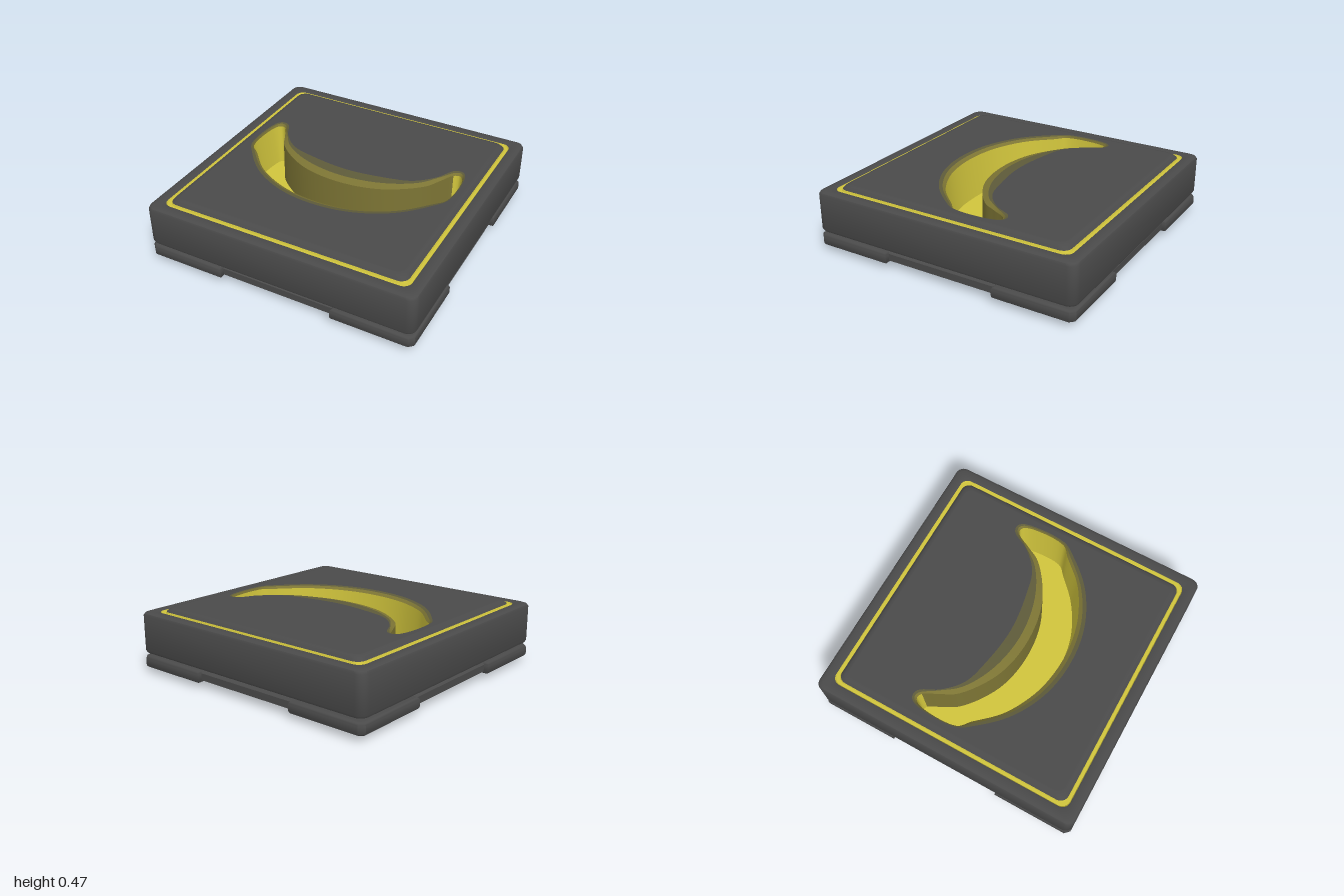
import * as THREE from 'three';
import { toCreasedNormals } from 'three/addons/utils/BufferGeometryUtils.js';

const mat = (name, color, side = THREE.FrontSide) => {
  const m = new THREE.MeshStandardMaterial({ color, side });
  m.name = name;
  return m;
};

// Skin between matching rings of [x, z] points, each at its own height
function loft(rings, closed = true) {
  const n = rings[0].pts.length, pos = [], idx = [];
  for (const { pts, y } of rings) for (const [x, z] of pts) pos.push(x, y, z);
  for (let r = 0; r < rings.length - 1; r++) {
    for (let i = 0; i < (closed ? n : n - 1); i++) {
      const a = r * n + i, b = r * n + (i + 1) % n;
      idx.push(a, b, a + n, b, b + n, a + n);
    }
  }
  const g = new THREE.BufferGeometry();
  g.setAttribute('position', new THREE.Float32BufferAttribute(pos, 3));
  g.setIndex(idx);
  return toCreasedNormals(g, 0.7);
}

// Rounded square outline
function square(half, r = 0.06) {
  const pts = [];
  for (let c = 0; c < 4; c++) {
    const mid = Math.PI / 4 + c * Math.PI / 2;
    const cx = Math.sign(Math.cos(mid)) * (half - r), cz = -Math.sign(Math.sin(mid)) * (half - r);
    for (let i = 0; i <= 6; i++) {
      const a = c * Math.PI / 2 + i * Math.PI / 12;
      pts.push([cx + r * Math.cos(a), cz - r * Math.sin(a)]);
    }
  }
  return pts;
}
const squares = (profile, r) => loft(profile.map(([half, y]) => ({ pts: square(half, r), y })));

// Crescent outline from its right half: inner middle, tip, outer middle
const SUB = 6;
function crescent(half) {
  const left = half.slice(1, -1).reverse().map(([x, z]) => [-x, z]);
  const curve = new THREE.CatmullRomCurve3(
    [...half, ...left].map(([x, z]) => new THREE.Vector3(x, 0, z)), true, 'centripetal');
  const n = (half.length + left.length) * SUB;
  return Array.from({ length: n }, (_, i) => {
    const p = curve.getPoint(i / n);
    return [p.x, p.z];
  });
}

// Flat face looking up, with an optional hole
function cap(pts, y, hole) {
  const v = (list) => list.map(([x, z]) => new THREE.Vector2(x, -z));
  const s = new THREE.Shape(v(pts));
  if (hole) s.holes.push(new THREE.Path(v(hole)));
  return new THREE.ShapeGeometry(s).rotateX(-Math.PI / 2).translate(0, y, 0);
}

export function createModel() {
  const group = new THREE.Group();
  const charcoal = mat('charcoal', 0x4a4a4a);
  const yellow = mat('yellow', 0xd0c43c, THREE.DoubleSide);
  const olive = mat('olive', 0x7c7434, THREE.DoubleSide);
  const darkOlive = mat('dark olive', 0x5e5b3a, THREE.DoubleSide);
  const add = (name, geo, material) => {
    const m = new THREE.Mesh(geo, material);
    m.name = name;
    group.add(m);
    return m;
  };

  // Base plate, seam and main slab
  add('body', squares([
    [0.78, 0], [0.80, 0.008], [0.82, 0.035], [0.84, 0.042], [0.94, 0.042], [0.965, 0.055],
    [0.965, 0.105], [0.95, 0.118], [0.93, 0.125], [0.93, 0.138], [0.975, 0.14], [0.993, 0.148],
    [1, 0.165], [1, 0.42], [0.993, 0.435], [0.975, 0.443], [0.925, 0.443], [0.915, 0.438]]), charcoal);
  const bottom = add('underside', cap(square(0.78), 0), charcoal);
  bottom.rotation.x = Math.PI;

  // Groove around the raised top plate
  add('groove', squares([[0.915, 0.438], [0.91, 0.43], [0.89, 0.43], [0.885, 0.442]]), yellow);
  add('topPlateEdge', squares([[0.885, 0.442], [0.872, 0.458], [0.86, 0.467], [0.84, 0.47]]), charcoal);

  // Crescent outlines from the outer halo down to the floor
  const halo = crescent([[0, -0.01], [0.29, -0.045], [0.48, -0.1], [0.61, -0.22], [0.69, -0.355],
    [0.745, -0.365], [0.782, -0.32], [0.79, 0], [0.72, 0.11], [0.56, 0.28], [0.38, 0.39], [0.2, 0.45], [0, 0.47]]);
  const ring = crescent([[0, 0.07], [0.3, 0.02], [0.52, -0.1], [0.63, -0.24], [0.7, -0.34],
    [0.74, -0.35], [0.775, -0.31], [0.78, 0], [0.71, 0.09], [0.55, 0.255], [0.37, 0.365], [0.2, 0.42], [0, 0.44]]);
  const rim = crescent([[0, 0.13], [0.31, 0.075], [0.57, -0.1], [0.64, -0.22], [0.695, -0.32],
    [0.735, -0.335], [0.77, -0.3], [0.775, 0], [0.7, 0.075], [0.545, 0.235], [0.36, 0.34], [0.2, 0.39], [0, 0.41]]);
  const floor = crescent([[0, 0.135], [0.31, 0.08], [0.57, -0.095], [0.645, -0.215], [0.695, -0.31],
    [0.73, -0.32], [0.75, -0.29], [0.755, -0.01], [0.68, 0.07], [0.53, 0.21], [0.35, 0.315], [0.19, 0.365], [0, 0.38]]);

  add('topPlate', cap(square(0.84), 0.47, halo), charcoal);
  add('outerHalo', loft([{ pts: ring, y: 0.466 }, { pts: halo, y: 0.47 }]), darkOlive);
  add('innerHalo', loft([{ pts: rim, y: 0.45 }, { pts: ring, y: 0.466 }]), olive);
  add('recessFloor', cap(floor, 0.145), yellow);

  // Recess wall: olive along the inner curve, yellow around the tips and outer curve
  const cut = 4 * SUB, n = rim.length;
  const part = (pts, from, to) =>
    Array.from({ length: to - from + 1 }, (_, i) => pts[(from + i + n) % n]);
  const wall = (from, to) => loft([
    { pts: part(floor, from, to), y: 0.145 }, { pts: part(rim, from, to), y: 0.45 }], false);
  add('recessInnerWall', wall(-cut, cut), olive);
  add('recessOuterWall', wall(cut, n - cut), yellow);

  // L-shaped corner pads with soft edges
  const s = new THREE.Shape();
  [[0.44, 0.975], [0.955, 0.975], [0.975, 0.955], [0.975, 0.44], [0.89, 0.44], [0.89, 0.83],
    [0.83, 0.89], [0.44, 0.89]].forEach(([x, y], i) => (i ? s.lineTo(x, y) : s.moveTo(x, y)));
  s.closePath();
  const padGeo = toCreasedNormals(new THREE.ExtrudeGeometry(s, {
    depth: 0.04, bevelThickness: 0.024, bevelSize: 0.024, bevelSegments: 4,
  }).rotateX(-Math.PI / 2).translate(0, 0.06, 0), 0.7);
  for (let i = 0; i < 4; i++) {
    add('cornerPad', padGeo, charcoal).rotation.y = i * Math.PI / 2;
    // Short glints showing in the seam
    const pivot = new THREE.Group();
    pivot.name = 'seamStrip';
    const strip = new THREE.Mesh(new THREE.BoxGeometry(0.2, 0.008, 0.008), yellow);
    strip.name = 'seamStrip';
    strip.position.set(0.18, 0.129, 0.932);
    pivot.add(strip);
    pivot.rotation.y = i * Math.PI / 2;
    group.add(pivot);
  }
  return group;
}
